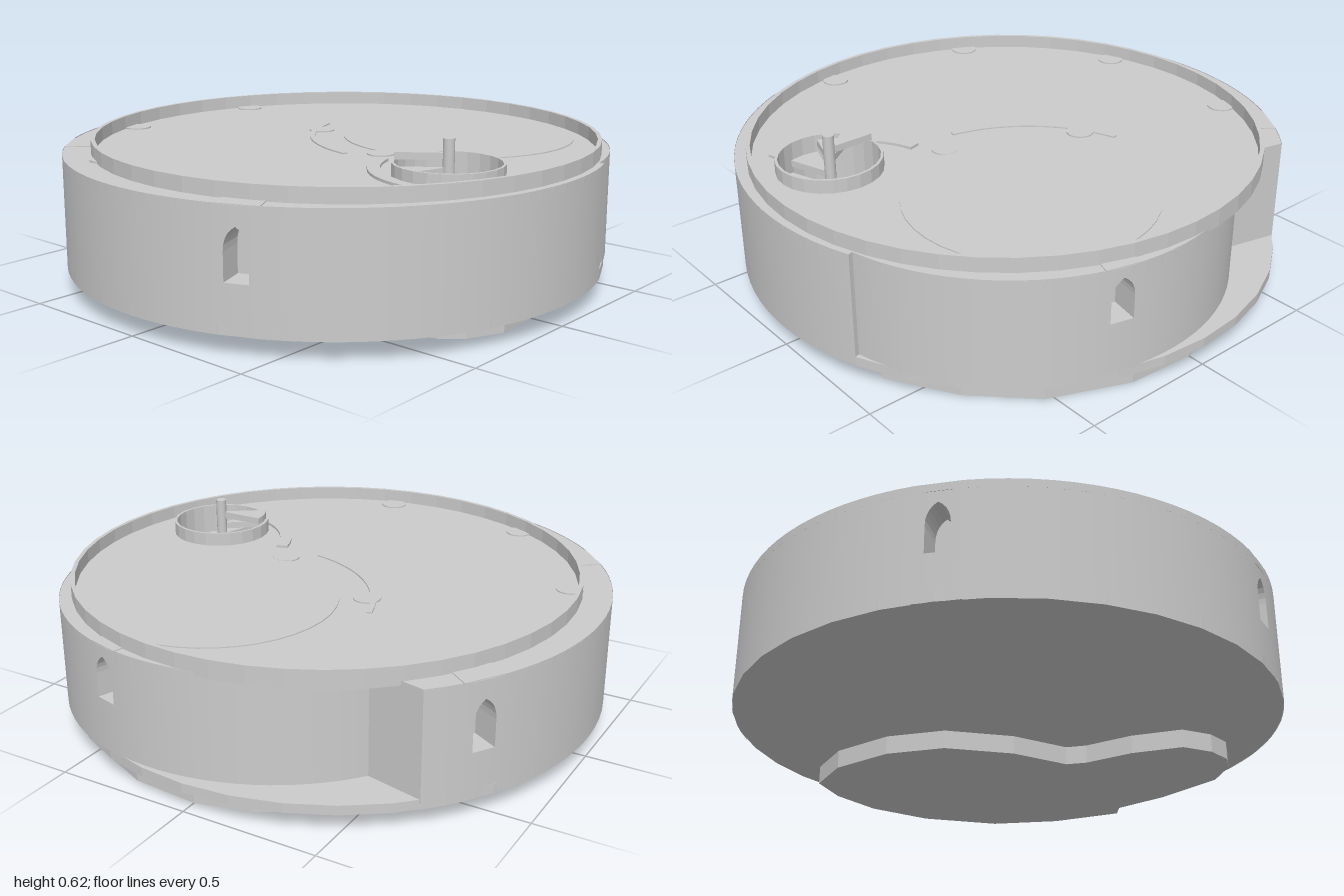
import * as THREE from 'three';

const grey = new THREE.MeshStandardMaterial({ color: 0xcccccc, side: THREE.DoubleSide });
const rad = THREE.MathUtils.degToRad;

// Angles are in degrees from +z towards +x
const at = (cx, cz, r, a) => [cx + r * Math.sin(rad(a)), cz + r * Math.cos(rad(a))];
function arc(cx, cz, r, a0, a1, n) {
  return Array.from({ length: n + 1 }, (_, i) => at(cx, cz, r, a0 + (a1 - a0) * i / n));
}
const circle = (cx, cz, r, n) => arc(cx, cz, r, 0, 360, n).slice(0, n);
const strip = (cx, cz, r0, r1, a0, a1, n) =>
  [...arc(cx, cz, r1, a0, a1, n), ...arc(cx, cz, r0, a1, a0, n)];

function add(parent, name, geometry) {
  const mesh = new THREE.Mesh(geometry, grey);
  mesh.name = name;
  parent.add(mesh);
  return mesh;
}

// Slab with a plan outline of [x, z] points, from y0 to y1
function slab(parent, name, outline, y0, y1, holes = []) {
  const flat = pts => pts.map(([x, z]) => new THREE.Vector2(x, -z));
  const shape = new THREE.Shape(flat(outline));
  for (const h of holes) shape.holes.push(new THREE.Path(flat(h)));
  const g = new THREE.ExtrudeGeometry(shape, { depth: y1 - y0, bevelEnabled: false });
  g.rotateX(-Math.PI / 2).translate(0, y0, 0);
  return add(parent, name, g);
}

// Bent wall panel pierced by a pointed window
function windowPanel(r, y0, y1, a, half, sill, apex) {
  const w = half * r, k = 0.042, spring = sill + (apex - sill) * 0.55, depth = 0.11;
  const shape = new THREE.Shape();
  shape.moveTo(-w, y0).lineTo(w, y0).lineTo(w, y1).lineTo(-w, y1).closePath();
  const hole = new THREE.Path();
  hole.moveTo(-k, sill).lineTo(-k, spring);
  hole.quadraticCurveTo(-k, apex - 0.025, 0, apex);
  hole.quadraticCurveTo(k, apex - 0.025, k, spring);
  hole.lineTo(k, sill).closePath();
  shape.holes.push(hole);
  const g = new THREE.ExtrudeGeometry(shape, { depth, bevelEnabled: false, curveSegments: 5 });
  const p = g.attributes.position, n = g.attributes.normal, up = new THREE.Vector3(0, 1, 0);
  const v = new THREE.Vector3();
  for (let i = 0; i < p.count; i++) {
    const t = p.getX(i) / r + rad(a), q = r - depth + p.getZ(i);
    p.setXYZ(i, q * Math.sin(t), p.getY(i), q * Math.cos(t));
    v.fromBufferAttribute(n, i).applyAxisAngle(up, t);
    n.setXYZ(i, v.x, v.y, v.z);
  }
  return g;
}

// Curved wall from a0 to a1 with windows at the given angles
function curvedWall(name, r, y0, y1, a0, a1, windows, sill, apex) {
  const wall = new THREE.Group(), half = 0.08, d = THREE.MathUtils.radToDeg(half);
  wall.name = name;
  let from = a0;
  for (const stop of [...windows, null]) {
    const to = stop === null ? a1 : stop - d;
    const g = new THREE.CylinderGeometry(r, r, y1 - y0, Math.ceil((to - from) / 4), 1, true,
      rad(from), rad(to - from));
    add(wall, name + 'Face', g.translate(0, (y0 + y1) / 2, 0));
    if (stop === null) break;
    add(wall, 'windowSurround', windowPanel(r, y0, y1, stop, half, sill, apex));
    const back = add(wall, 'windowBack', new THREE.PlaneGeometry(0.13, apex - sill + 0.04));
    const [x, z] = at(0, 0, r - 0.108, stop);
    back.position.set(x, (sill + apex) / 2, z);
    back.rotation.y = rad(stop);
    from = stop + d;
  }
  return wall;
}

export function createModel() {
  const model = new THREE.Group();
  model.name = 'towerFloor';
  const drum = [0.14, -0.17], rim = [0.035, -0.02], stair = [0.66, 0.19];
  const well = circle(...stair, 0.18, 24);

  // Foot under the small tower and stair
  slab(model, 'foot', [
    [-0.37, -0.6], [-0.34, -0.8], [-0.2, -0.89], [0, -0.94], [0.25, -0.92], [0.53, -0.8],
    [0.72, -0.61], [0.86, -0.37], [0.82, -0.31], [0.87, -0.1], [0.89, 0.18], [0.83, 0.31],
    [0.76, 0.37], [0.66, 0.39], [0.54, 0.36], [0.43, 0.2], [0.36, 0.02], [0.31, -0.04],
    [0.08, -0.07], [-0.16, -0.18], [-0.3, -0.36],
  ], 0, 0.075);

  // Base slab, forming the ledge in the recess
  slab(model, 'base', circle(0, 0, 1, 36), 0.07, 0.105);

  // Main wall and the recessed tower wall
  model.add(curvedWall('mainWall', 1, 0.07, 0.49, 225, 470, [237.3, 310.5, 383.6], 0.24, 0.42));
  const inner = curvedWall('recessedWall', 0.8, 0.1, 0.49, 102, 232.4, [165.6], 0.29, 0.45);
  inner.position.set(drum[0], 0, drum[1]);
  model.add(inner);

  // End walls closing the recess
  for (const [outA, inA] of [[225, 232.4], [470, 102]]) {
    const [x0, z0] = at(0, 0, 1, outA), [x1, z1] = at(...drum, 0.8, inA);
    const end = add(model, 'recessEnd', new THREE.PlaneGeometry(Math.hypot(x1 - x0, z1 - z0), 0.4));
    end.position.set((x0 + x1) / 2, 0.29, (z0 + z1) / 2);
    end.rotation.y = -Math.atan2(z1 - z0, x1 - x0);
  }

  // Deck, inner floor and low rim
  slab(model, 'deck', [...arc(0, 0, 1, 225, 470, 70), ...arc(...drum, 0.8, 102, 232.4, 32)],
    0.46, 0.487, [well]);
  slab(model, 'floor', circle(...rim, 0.93, 48), 0.47, 0.49, [well]);
  slab(model, 'rim', circle(...rim, 0.935, 48), 0.475, 0.54, [circle(...rim, 0.92, 48)]);

  // Floor markings: round hall, low curbs and small discs
  slab(model, 'hallFloor', circle(0.26, -0.42, 0.44, 40), 0.488, 0.494);
  slab(model, 'hallCurb', strip(0.26, -0.42, 0.55, 0.57, 285, 350, 16), 0.488, 0.495);
  slab(model, 'stairCurb', strip(0.68, 0.04, 0.335, 0.38, -75, 15, 16), 0.488, 0.5);
  for (const [x, z] of [[-0.79, -0.34], [-0.8, 0.28], [-0.4, 0.77], [0.21, 0.84],
    [-0.21, -0.16], [0.26, 0.05]]) {
    slab(model, 'floorDisc', circle(x, z, 0.05, 18), 0.488, 0.495);
  }

  // Spiral stair in its well
  const spiral = new THREE.Group();
  spiral.name = 'spiralStair';
  model.add(spiral);
  slab(spiral, 'stairWell', circle(...stair, 0.19, 24), 0.1, 0.54, [well]);
  for (let i = 0; i < 10; i++) {
    const top = 0.57 - i * 0.048, a = -90 + i * 36;
    slab(spiral, 'step', [stair, ...arc(...stair, 0.18, a, a + 36, 4)], top - 0.025, top);
  }
  const post = add(spiral, 'newelPost', new THREE.CylinderGeometry(0.02, 0.02, 0.52, 12));
  post.position.set(stair[0], 0.36, stair[1]);
  return model;
}
